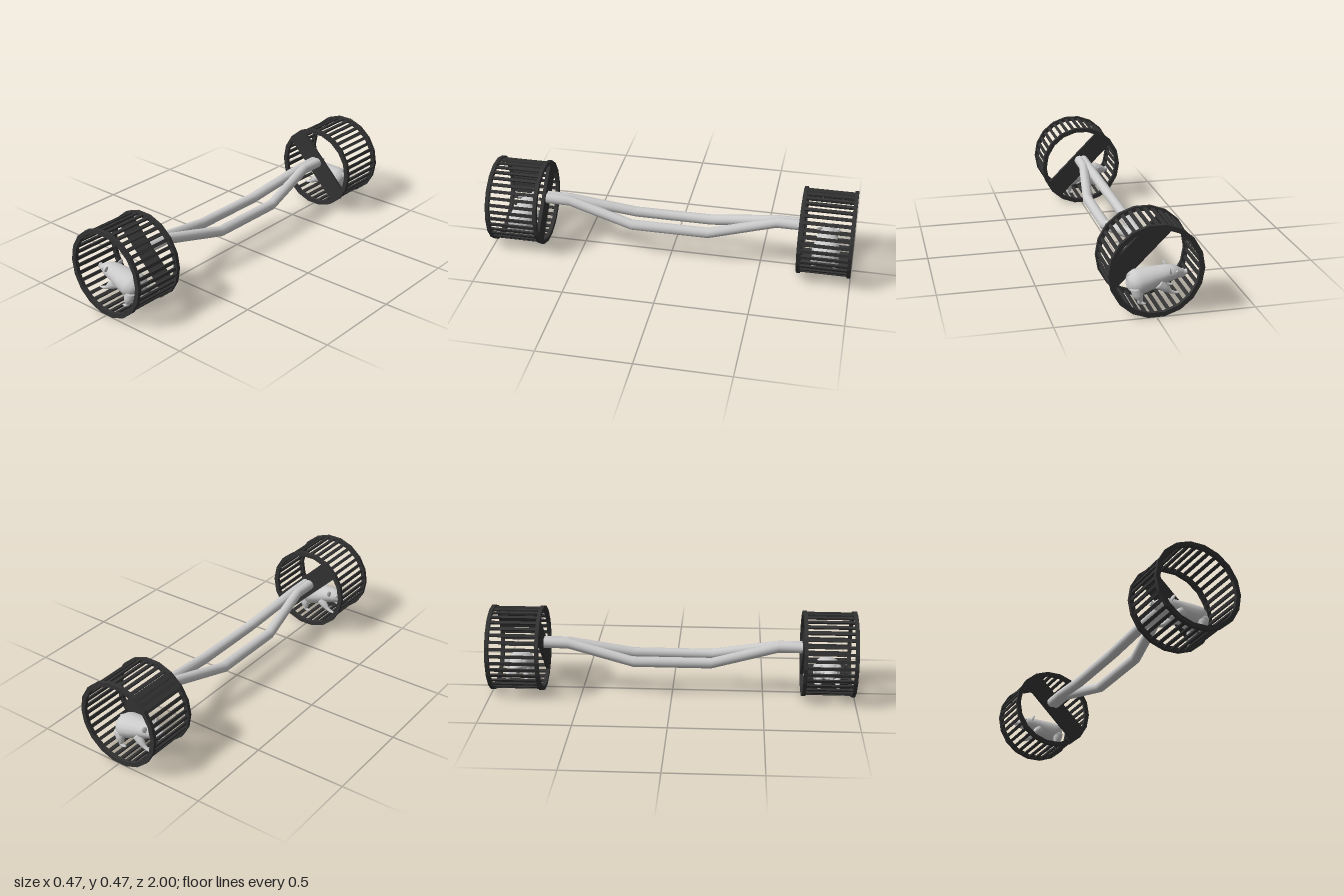
import * as THREE from 'three';
import { toCreasedNormals } from 'three/addons/utils/BufferGeometryUtils.js';

const SIDES = 18, R_OUT = 0.237, R_IN = 0.213, AXLE_Y = 0.235;
const grey = new THREE.MeshStandardMaterial({ color: 0xcccccc });
const dark = new THREE.MeshStandardMaterial({ color: 0x333333 });

function part(name, geometry, material, parent) {
  const mesh = new THREE.Mesh(geometry, material);
  mesh.name = name;
  parent.add(mesh);
  return mesh;
}

const polygon = (r) => Array.from({ length: SIDES }, (_, i) => {
  const a = (i / SIDES) * Math.PI * 2;
  return new THREE.Vector2(r * Math.cos(a), r * Math.sin(a));
});

// Smooth skin over stations [x, y, z, in-plane radius, sideways radius]
function loft(stations, steps = 4, sides = 16) {
  const centre = new THREE.CatmullRomCurve3(stations.map((s) => new THREE.Vector3(s[0], s[1], s[2])));
  const radius = new THREE.CatmullRomCurve3(stations.map((s) => new THREE.Vector3(s[3], s[4], 0)));
  const n = (stations.length - 1) * steps;
  const pos = [], index = [];
  for (let i = 0; i <= n; i++) {
    const c = centre.getPoint(i / n), r = radius.getPoint(i / n), t = centre.getTangent(i / n);
    const l = Math.hypot(t.x, t.y);
    for (let j = 0; j < sides; j++) {
      const a = (j / sides) * Math.PI * 2, u = r.x * Math.cos(a);
      pos.push(c.x - (t.y / l) * u, c.y + (t.x / l) * u, c.z + r.y * Math.sin(a));
      if (i < n) {
        const p = i * sides + j, q = i * sides + ((j + 1) % sides);
        index.push(p, q, p + sides, q, q + sides, p + sides);
      }
    }
  }
  // End caps
  for (const [k, first] of [[0, true], [n, false]]) {
    for (let j = 1; j < sides - 1; j++) {
      const a = k * sides, b = a + j, c = a + j + 1;
      index.push(a, ...(first ? [c, b] : [b, c]));
    }
  }
  const g = new THREE.BufferGeometry();
  g.setAttribute('position', new THREE.Float32BufferAttribute(pos, 3));
  g.setIndex(index);
  g.computeVertexNormals();
  return g;
}

// Pig facing -x
function makePig() {
  const pig = new THREE.Group();
  pig.name = 'pig';
  part('body', loft([
    [-0.186, 0.158, 0, 0.011, 0.014], [-0.172, 0.157, 0, 0.017, 0.018],
    [-0.15, 0.16, 0, 0.026, 0.03], [-0.12, 0.163, 0, 0.037, 0.046],
    [-0.085, 0.161, 0, 0.043, 0.054], [-0.04, 0.152, 0, 0.05, 0.062],
    [0.01, 0.141, 0, 0.058, 0.072], [0.055, 0.131, 0, 0.063, 0.077],
    [0.085, 0.124, 0, 0.054, 0.066], [0.104, 0.119, 0, 0.034, 0.042],
    [0.111, 0.118, 0, 0.008, 0.01],
  ]), grey, pig);
  const snout = part('snout', new THREE.CylinderGeometry(0.015, 0.013, 0.01, 14), grey, pig);
  snout.position.set(-0.186, 0.16, 0);
  snout.rotation.z = Math.PI / 2 - 0.15;
  part('lowerJaw', loft([
    [-0.18, 0.142, 0, 0.004, 0.007], [-0.165, 0.143, 0, 0.009, 0.014], [-0.135, 0.147, 0, 0.016, 0.025],
  ]), grey, pig);
  part('tail', loft([
    [0.085, 0.168, 0, 0.006, 0.006], [0.103, 0.171, 0, 0.006, 0.006],
    [0.107, 0.16, 0.006, 0.005, 0.005], [0.101, 0.152, 0.01, 0.003, 0.003],
  ], 4, 8), grey, pig);
  for (const s of [-1, 1]) {
    // Forelegs stretch forward, hind legs push down
    part('foreleg', loft([
      [-0.035, 0.13, s * 0.042, 0.03, 0.022], [-0.065, 0.108, s * 0.048, 0.021, 0.019],
      [-0.092, 0.088, s * 0.051, 0.011, 0.012], [-0.115, 0.079, s * 0.052, 0.007, 0.009],
      [-0.137, 0.077, s * 0.052, 0.004, 0.007],
    ]), grey, pig);
    part('hindLeg', loft([
      [0.075, 0.12, s * 0.048, 0.032, 0.024], [0.068, 0.085, s * 0.054, 0.027, 0.022],
      [0.06, 0.062, s * 0.057, 0.015, 0.015], [0.063, 0.047, s * 0.058, 0.009, 0.011],
      [0.05, 0.04, s * 0.058, 0.006, 0.01], [0.031, 0.039, s * 0.058, 0.003, 0.007],
    ]), grey, pig);
    const ear = part('ear', new THREE.SphereGeometry(1, 14, 10), grey, pig);
    ear.scale.set(0.006, 0.02, 0.015);
    ear.position.set(-0.093, 0.189, s * 0.048);
    ear.rotation.set(s * 0.7, 0, -0.35);
    const eye = part('eye', new THREE.SphereGeometry(0.008, 12, 8), grey, pig);
    eye.position.set(-0.132, 0.177, s * 0.034);
  }
  return pig;
}

// Wheel centred on its own z, with its plank on the side facing the handle
function makeWheel(side) {
  const wheel = new THREE.Group();
  wheel.name = side > 0 ? 'frontWheel' : 'backWheel';
  const rim = new THREE.Shape(polygon(R_OUT));
  rim.holes.push(new THREE.Path(polygon(R_IN)));
  const rimGeo = new THREE.ExtrudeGeometry(rim, { depth: 0.02, bevelEnabled: false });
  for (const z of [-0.145, 0.125]) {
    part('rim', rimGeo, dark, wheel).position.set(0, AXLE_Y, z);
  }
  const barGeo = new THREE.BoxGeometry(0.01, 0.017, 0.27);
  const bars = SIDES * 2, shift = side > 0 ? 0 : Math.PI / 72;
  for (let i = 0; i < bars; i++) {
    const a = (i / bars) * Math.PI * 2 + shift;
    const bar = part('bar', barGeo, dark, wheel);
    bar.position.set(0.223 * Math.cos(a), AXLE_Y + 0.223 * Math.sin(a), 0);
    bar.rotation.z = a;
  }
  const plank = part('plank', new THREE.BoxGeometry(0.426, 0.112, 0.018), dark, wheel);
  plank.position.set(0.0127, AXLE_Y + 0.0127, -side * 0.135);
  plank.rotation.z = -Math.PI / 4;
  wheel.add(makePig());
  wheel.position.z = side * 0.855;
  return wheel;
}

// Bent tube: each ring of a straight cylinder is moved to a bend of the path
function makeHandleTube(side) {
  const path = [[0.012, 0.27, -0.725], [0.012, 0.27, -0.58], [0.068, 0.192, -0.215],
    [0.068, 0.192, 0.215], [0.012, 0.27, 0.58], [0.012, 0.27, 0.725]];
  const g = new THREE.CylinderGeometry(0.029, 0.029, path.length - 1, 16, path.length - 1);
  g.rotateX(Math.PI / 2);
  const p = g.attributes.position;
  for (let i = 0; i < p.count; i++) {
    const [x, y, z] = path[Math.round(p.getZ(i) + (path.length - 1) / 2)];
    p.setXYZ(i, p.getX(i) + side * x, p.getY(i) + y, z);
  }
  return toCreasedNormals(g, 0.45);
}

export function createModel() {
  const model = new THREE.Group();
  model.name = 'pigWheelDumbbell';
  for (const side of [1, -1]) {
    model.add(makeWheel(side));
    part(side > 0 ? 'leftHandleTube' : 'rightHandleTube', makeHandleTube(side), grey, model);
  }
  return model;
}
